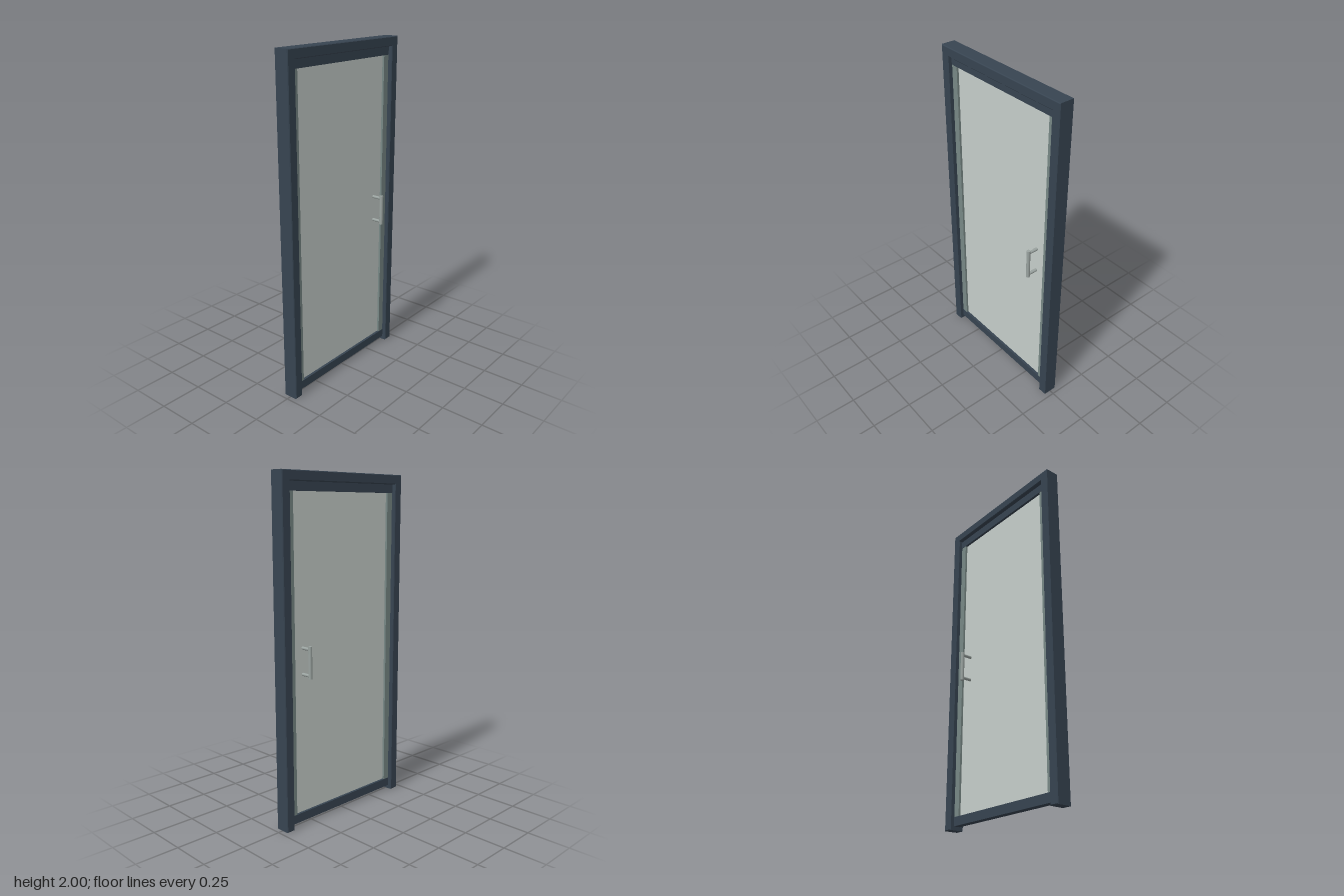
import * as THREE from 'three';

const paint = (color) => new THREE.MeshStandardMaterial({ color });

export function createModel() {
  const model = new THREE.Group();
  const slate = paint(0x374451), trim = paint(0x788886), pane = paint(0xc6ceca), steel = paint(0x9aa3a0);

  const add = (parent, name, geometry, material, x = 0, y = 0, z = 0) => {
    const mesh = new THREE.Mesh(geometry, material);
    mesh.name = name;
    mesh.position.set(x, y, z);
    parent.add(mesh);
    return mesh;
  };

  // Door frame: one upside-down U with a fine bevel on the front and back edges
  const W = 0.47, I = 0.415, H = 2, HI = 1.945, D = 0.09, B = 0.004;
  const outline = new THREE.Shape([
    [-W, 0], [-I, 0], [-I, HI], [I, HI], [I, 0], [W, 0], [W, H], [-W, H],
  ].map(([x, y]) => new THREE.Vector2(x, y)));
  const frame = new THREE.ExtrudeGeometry(outline, {
    depth: D - 2 * B, bevelThickness: B, bevelSize: B, bevelOffset: -B, bevelSegments: 1,
  });
  frame.translate(0, 0, -D / 2 + B);
  add(model, 'doorFrame', frame, slate);

  // Door leaf: dark rails, lighter stiles and a thin pane
  const leaf = new THREE.Group();
  leaf.name = 'doorLeaf';
  model.add(leaf);
  add(leaf, 'topRail', new THREE.BoxGeometry(2 * I, 0.05, 0.042), slate, 0, 1.919);
  add(leaf, 'bottomRail', new THREE.BoxGeometry(2 * I, 0.052, 0.042), slate, 0, 0.048);
  for (const s of [-1, 1]) {
    add(leaf, s > 0 ? 'leftStile' : 'rightStile', new THREE.BoxGeometry(0.041, 1.82, 0.038), trim, s * 0.3945, 0.984);
  }
  add(leaf, 'glassPane', new THREE.BoxGeometry(0.75, 1.82, 0.012), pane, 0, 0.984);

  // Pull handles: an upright bar on two posts, on each face
  for (const s of [1, -1]) {
    const handle = new THREE.Group();
    handle.name = s > 0 ? 'frontHandle' : 'backHandle';
    handle.position.set(0.307, 0.967, 0);
    add(handle, 'bar', new THREE.CylinderGeometry(0.011, 0.011, 0.184, 20), steel, 0, 0, s * 0.068);
    for (const y of [-0.075, 0.075]) {
      const post = add(handle, 'post', new THREE.CylinderGeometry(0.009, 0.009, 0.064, 16), steel, 0, y, s * 0.036);
      post.rotation.x = Math.PI / 2;
    }
    model.add(handle);
  }

  return model;
}
